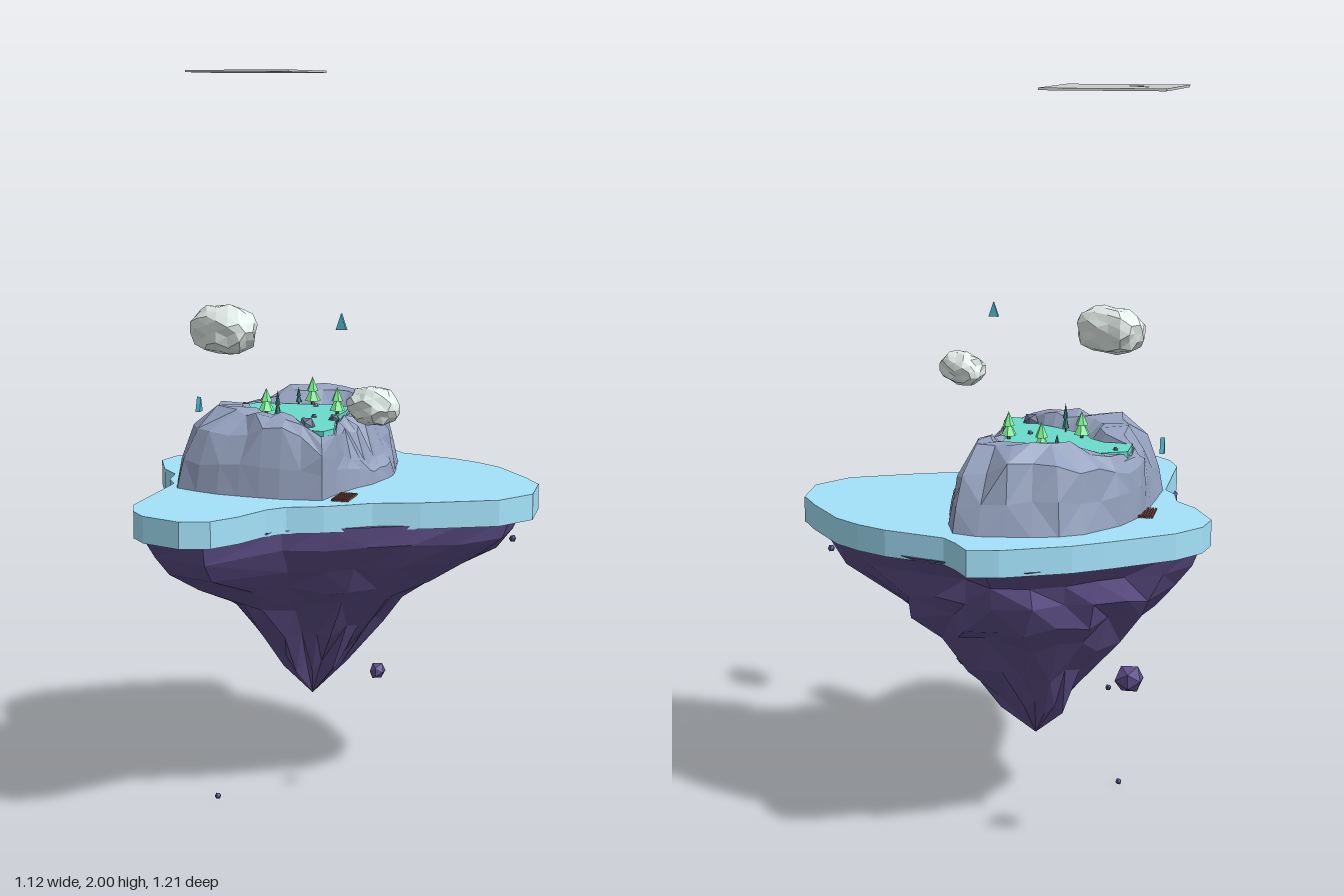
import * as THREE from 'three';

// Outlines as [x, z]
const SLAB = [[0, -.607], [-.08, -.595], [-.25, -.52], [-.34, -.46], [-.49, -.35], [-.55, -.27], [-.565, -.19], [-.51, -.065],
  [-.455, 0], [-.44, .08], [-.41, .13], [-.41, .43], [-.38, .51], [-.335, .56], [-.225, .6], [-.15, .575], [-.1, .5],
  [-.06, .4], [-.02, .355], [.07, .32], [.13, .28], [.18, .245], [.3, .205], [.49, .115], [.56, .01], [.55, -.135],
  [.535, -.155], [.5, -.215], [.4, -.35], [.33, -.405], [.245, -.45], [.08, -.5], [.04, -.545]];
const UNDER = [[0, -.57], [-.19, -.57], [-.25, -.51], [-.48, -.34], [-.56, -.2], [-.45, 0], [-.435, .1], [-.435, .26],
  [-.41, .42], [-.37, .53], [-.225, .598], [-.14, .55], [-.075, .4], [0, .335], [.14, .285], [.3, .2], [.45, .12], [.52, 0],
  [.51, -.13], [.4, -.33], [.24, -.448], [.14, -.495], [.06, -.51]];
const ROCK = [[-.16, -.455], [-.03, -.47], [.055, -.478], [.09, -.41], [.11, -.3], [.13, -.21], [.14, -.13], [.115, 0],
  [.09, .05], [.05, .19], [.045, .25], [-.08, .262], [-.24, .245], [-.375, .2], [-.405, .14], [-.395, -.05], [-.38, -.19],
  [-.34, -.3], [-.25, -.42]];
const MEADOW = [[-.345, -.095], [-.27, -.095], [-.225, -.05], [-.205, 0], [-.11, .08], [-.035, .13], [-.01, .19], [.035, .2],
  [.05, .15], [.02, .03], [0, -.065], [0, -.145], [-.01, -.225], [-.06, -.255], [-.17, -.24], [-.27, -.235], [-.345, -.2]];

let seed = 7;
const rnd = () => ((seed = (seed * 16807) % 2147483647) / 2147483647) * 2 - 1;

const mat = (color) => new THREE.MeshStandardMaterial({ color, flatShading: true });
const M = {
  ice: mat(0xa4e2fa), under: mat(0x5e4f88), rock: mat(0x95a2bf), meadow: mat(0x6adccd), cloud: mat(0xe6f0ec),
  leaf: mat(0x7df297), darkLeaf: mat(0x2f7f7c), stone: mat(0x66718c), marker: mat(0x4fb2c4), plank: mat(0x7a4a44),
  plate: mat(0xcccccc),
};

function add(parent, name, geometry, material, x = 0, y = 0, z = 0) {
  const mesh = new THREE.Mesh(geometry, material);
  mesh.name = name;
  mesh.position.set(x, y, z);
  parent.add(mesh);
  return mesh;
}

// Flat prism from an outline, bottom at y = 0
function prism(outline, height, holes = []) {
  const shape = new THREE.Shape(outline.map(([x, z]) => new THREE.Vector2(x, -z)));
  for (const [x, z, r] of holes) {
    shape.holes.push(new THREE.Path().absarc(x, -z, r, 0, Math.PI * 2, true));
  }
  return new THREE.ExtrudeGeometry(shape, { depth: height, bevelEnabled: false, curveSegments: 8 }).rotateX(-Math.PI / 2);
}

// Distance from a centre to an outline along an angle
function reach(outline, cx, cz, angle) {
  const dx = Math.cos(angle), dz = Math.sin(angle);
  let best = 0;
  outline.forEach(([ax, az], i) => {
    const [bx, bz] = outline[(i + 1) % outline.length];
    const ex = bx - ax, ez = bz - az, det = ex * dz - ez * dx;
    if (Math.abs(det) < 1e-9) return;
    const t = (ex * (az - cz) - ez * (ax - cx)) / det;
    const s = (dx * (az - cz) - dz * (ax - cx)) / det;
    if (s >= -1e-6 && s <= 1 + 1e-6 && t > best) best = t;
  });
  return best;
}

// Faceted skin over rings of points running from the top centre outwards and down
function loft(rings) {
  const pos = [], n = rings[0].length;
  const tri = (...p) => p.forEach((v) => pos.push(...v));
  for (let i = 0; i < rings.length - 1; i++) {
    for (let j = 0; j < n; j++) {
      const k = (j + 1) % n;
      const a = rings[i][j], b = rings[i][k], c = rings[i + 1][j], d = rings[i + 1][k];
      if (rnd() > 0) { tri(a, b, d); tri(a, d, c); } else { tri(a, b, c); tri(b, d, c); }
    }
  }
  const g = new THREE.BufferGeometry();
  g.setAttribute('position', new THREE.Float32BufferAttribute(pos, 3));
  g.computeVertexNormals();
  return g;
}

const ringOf = (n, fn) => Array.from({ length: n }, (_, j) => fn((j / n) * Math.PI * 2));

// Hanging underside: the outline turns into a rounded square and narrows to a point, steeper at the back
function underside() {
  const cx = -.09, cz = -.12;
  const levels = [[.824, 0, 0], [.824, 1, 0], [.765, .96, .02], [.7, .86, .05], [.635, .7, .07], [.565, .49, .09],
    [.47, .335, .1], [.36, .175, .12], [.246, 0, 0]];
  return loft(levels.map(([y, f, jitter]) => ringOf(26, (angle) => {
    const a = angle + rnd() * jitter * .7;
    const blend = (1 - f) * .75;
    const back = jitter ? Math.max(0, -Math.sin(a)) * .5 * (.72 - f) : 0;
    const square = .5 / Math.max(Math.abs(Math.cos(a)), Math.abs(Math.sin(a))) ** .7;
    const r = (reach(UNDER, cx, cz, a) * (1 - blend) + square * blend) * f * (1 + back + jitter * rnd());
    return [cx + Math.cos(a) * r, y + rnd() * jitter * .25, cz + Math.sin(a) * r];
  })));
}

// Rocky hill with a raised rim around the meadow, falling off more gently on the left side
function hill() {
  const cx = -.07, cz = -.07;
  // fraction from meadow to foot, height, share of crest, sideways drop, roughness
  const steps = [[-1, 1.03, 0, 0, 0], [0, 1.045, 0, 0, 0], [.2, 1.05, .75, .01, .5], [.5, 1.05, 1, .05, 1],
    [.78, 1.045, .3, .11, 1], [.92, .97, 0, .05, .5], [1, .88, 0, 0, 0]];
  return loft(steps.map(([t, y, crest, drop, rough]) => ringOf(36, (a) => {
    const inner = reach(MEADOW, cx, cz, a), outer = Math.max(reach(ROCK, cx, cz, a), inner + .03);
    const lift = .005 + .05 * THREE.MathUtils.clamp((outer - inner - .06) / .12, 0, 1);
    const r = t < 0 ? 0 : inner + (outer - inner) * (t + rnd() * rough * .09);
    const side = Math.max(Math.cos(a), -.3 * Math.cos(a));
    const h = y + lift * crest - drop * side + rnd() * rough * .014;
    return [cx + Math.cos(a) * r, h, cz + Math.sin(a) * r];
  })));
}

// Lumpy, slightly boxy boulder; shared corners move together
function boulder(detail, jitter) {
  const g = new THREE.IcosahedronGeometry(1, detail), p = g.attributes.position, v = new THREE.Vector3(), moved = {};
  for (let i = 0; i < p.count; i++) {
    v.fromBufferAttribute(p, i);
    const key = [v.x, v.y, v.z].map((c) => Math.round(c * 100)).join();
    moved[key] ??= 1 + rnd() * jitter;
    v.multiplyScalar(moved[key] / Math.max(Math.abs(v.x), Math.abs(v.y), Math.abs(v.z)) ** .18);
    p.setXYZ(i, v.x, v.y, v.z);
  }
  g.computeVertexNormals();
  return g;
}

export function createModel() {
  const model = new THREE.Group();
  model.name = 'floatingIsland';

  add(model, 'iceSlab', prism(SLAB, .07), M.ice, 0, .815, 0);
  add(model, 'underside', underside(), M.under);
  add(model, 'hill', hill(), M.rock);
  add(model, 'meadow', prism(MEADOW, .02), M.meadow, 0, 1.04, 0);

  // Clouds
  for (const [x, y, z, sx, sy, sz, turn] of [[-.245, 1.32, .18, .108, .064, .06, -.6], [.22, 1.163, .39, .085, .049, .05, -.8]]) {
    const cloud = add(model, 'cloud', boulder(2, .11), M.cloud, x, y, z);
    cloud.scale.set(sx, sy, sz);
    cloud.rotation.y = turn;
  }

  // Loose fragments below the island and stones on the meadow
  for (const [x, y, z, r] of [[-.38, .505, -.39, .038], [.15, .383, .07, .023], [-.33, .49, -.42, .008],
    [.485, .735, -.105, .01], [-.285, .01, .15, .009]]) {
    add(model, 'fragment', boulder(0, .1), M.under, x, y, z).scale.setScalar(r);
  }
  for (const [x, z, r] of [[.01, .005, .015], [-.03, .135, .024], [-.105, -.21, .007], [-.055, -.02, .008], [-.31, -.185, .007]]) {
    add(model, 'stone', boulder(0, .15), M.stone, x, 1.062, z).scale.setScalar(r);
  }

  // Trees: trunk and two stacked cones
  for (const [x, z, r, h, leaf] of [[-.125, -.245, .023, .082, M.leaf], [-.01, -.095, .022, .077, M.leaf],
    [-.2, -.045, .023, .074, M.leaf], [-.145, .025, .01, .08, M.darkLeaf], [-.165, -.24, .009, .05, M.darkLeaf]]) {
    const tree = new THREE.Group();
    tree.name = 'tree';
    tree.position.set(x, 1.058, z);
    add(tree, 'trunk', new THREE.CylinderGeometry(r * .2, r * .25, h * .25, 5), M.plank, 0, h * .125, 0);
    add(tree, 'lowerLeaves', new THREE.ConeGeometry(r, h * .55, 6), leaf, 0, h * .43, 0);
    add(tree, 'upperLeaves', new THREE.ConeGeometry(r * .75, h * .5, 6), leaf, 0, h * .75, 0).rotation.y = .5;
    model.add(tree);
  }

  // Slatted decks on the slab, each with a floating triangular marker
  const wedge = new THREE.ExtrudeGeometry(
    new THREE.Shape([[-.014, -.021], [.014, -.021], [0, .021]].map((p) => new THREE.Vector2(...p))),
    { depth: .012, bevelEnabled: false }).translate(0, 0, -.006);
  for (const [x, z, mx, my, mz, turn] of [[.092, .2, .1, 1.358, .257, 0], [-.39, -.157, -.427, 1.065, -.127, Math.PI / 2]]) {
    for (let i = -3; i <= 3; i++) {
      add(model, 'deckSlat', new THREE.BoxGeometry(.0045, .006, .095), M.plank, x + i * .0068, .888, z);
    }
    add(model, 'marker', wedge, M.marker, mx, my, mz).rotation.y = turn;
  }

  // Perforated plate high above
  const plate = prism([[-.468, -.535], [-.492, -.225], [-.18, -.2], [-.16, -.512]], .006,
    [[-.404, -.394, .011], [-.356, -.394, .008], [-.385, -.362, .011], [-.372, -.334, .018], [-.348, -.356, .007], [-.314, -.362, .011]]);
  add(model, 'plate', plate, M.plate, 0, 1.994, 0);

  return model;
}
